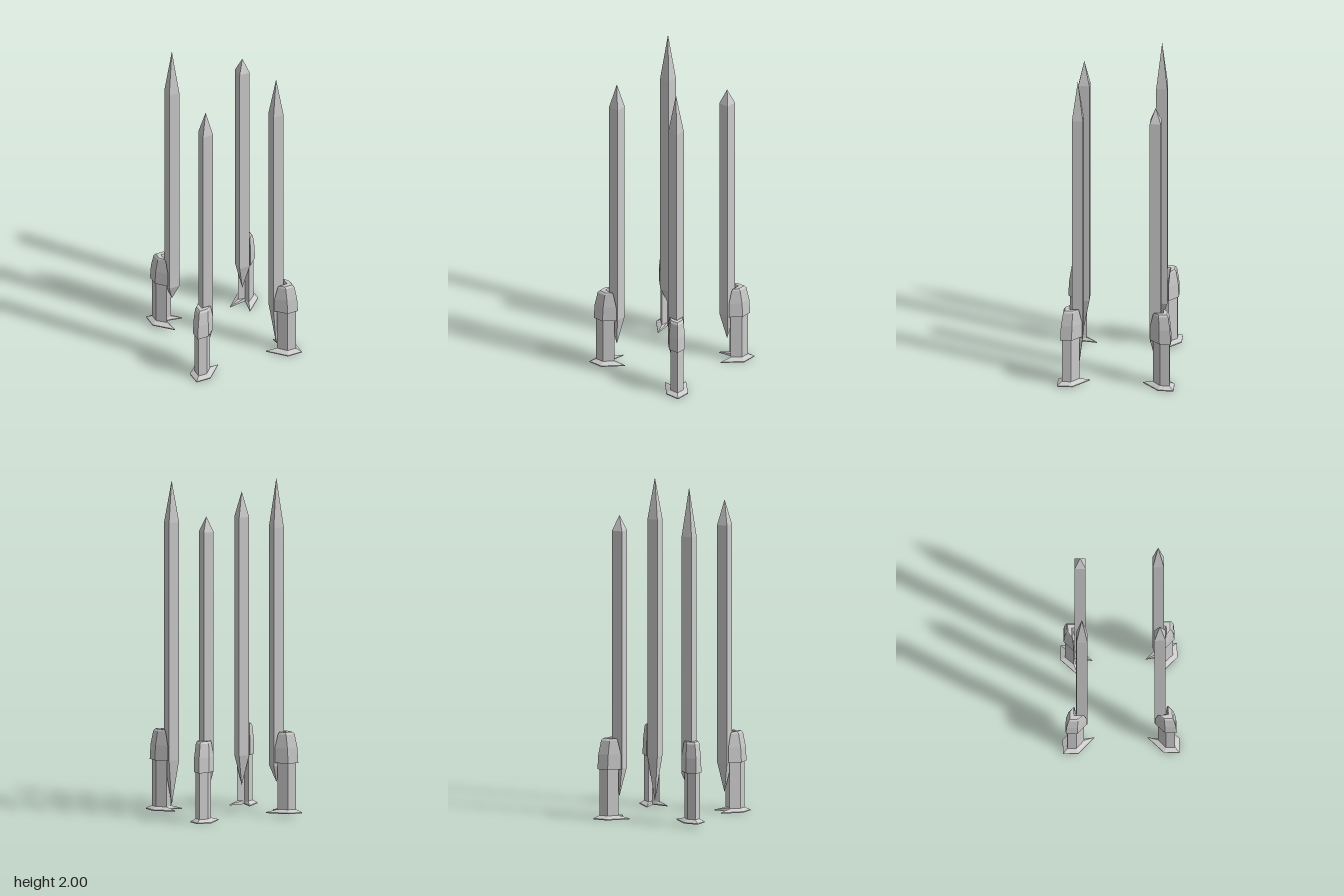
import * as THREE from 'three';

const material = new THREE.MeshStandardMaterial({ color: 0xcccccc, flatShading: true, side: THREE.DoubleSide });

function addMesh(parent, name, geometry) {
  const flat = geometry.index ? geometry.toNonIndexed() : geometry;
  flat.computeVertexNormals();
  const mesh = new THREE.Mesh(flat, material);
  mesh.name = name;
  parent.add(mesh);
}

// Arrowhead outline, symmetric about the corner diagonal:
// outer corner, shoulder, barb tip, inner notch, and the mirrored half.
function arrowRing(y, corner, shoulder, tipA, tipB, notch) {
  return [
    [corner, corner], [shoulder, corner], [tipA, tipB],
    [notch, notch], [tipB, tipA], [corner, shoulder],
  ].map(([x, z]) => new THREE.Vector3(x, y, z));
}

// Skins a stack of rings from bottom to top and caps both ends.
function loft(rings) {
  const points = [];
  for (let r = 0; r < rings.length - 1; r++) {
    const low = rings[r], high = rings[r + 1];
    for (let i = 0; i < 6; i++) {
      const j = (i + 1) % 6;
      points.push(low[j], low[i], high[i], low[j], high[i], high[j]);
    }
  }
  // Caps fan out from the notch
  const bottom = rings[0], top = rings[rings.length - 1];
  for (let k = 4; k < 8; k++) {
    const a = k % 6, b = (k + 1) % 6;
    points.push(bottom[3], bottom[a], bottom[b], top[3], top[b], top[a]);
  }
  return new THREE.BufferGeometry().setFromPoints(points);
}

// Square shaft pointed at both ends
function shaftGeometry(lowTip, highTip) {
  const radius = 0.0325 * Math.SQRT2;
  const profile = [[0, lowTip], [radius, 0.3], [radius, 1.71], [0, highTip]];
  return new THREE.LatheGeometry(profile.map(p => new THREE.Vector2(...p)), 4, Math.PI / 4)
    .translate(0.229, 0, 0.229);
}

function createPillar({ name, lowTip, highTip, lift }) {
  const pillar = new THREE.Group();
  pillar.name = name;

  addMesh(pillar, 'shaft', shaftGeometry(lowTip, highTip));

  const stand = new THREE.Group();
  stand.name = 'stand';
  stand.position.y = lift;
  pillar.add(stand);

  // Thin sloping foot
  addMesh(stand, 'footPlate', loft([
    arrowRing(0.003, 0.342, 0.252, 0.155, 0.243, 0.26),
    arrowRing(0.009, 0.342, 0.252, 0.155, 0.243, 0.26),
    arrowRing(0.025, 0.316, 0.262, 0.217, 0.266, 0.262),
  ]));
  // Upright between foot and sheath
  addMesh(stand, 'column', loft([
    arrowRing(0.02, 0.316, 0.262, 0.217, 0.266, 0.262),
    arrowRing(0.31, 0.316, 0.262, 0.217, 0.266, 0.262),
  ]));
  // Sheath with a rounded-over top
  addMesh(stand, 'sheath', loft([
    arrowRing(0.30, 0.325, 0.258, 0.2, 0.268, 0.258),
    arrowRing(0.39, 0.321, 0.256, 0.2, 0.268, 0.26),
    arrowRing(0.47, 0.309, 0.253, 0.217, 0.274, 0.272),
    arrowRing(0.482, 0.3, 0.252, 0.223, 0.277, 0.277),
  ]));
  return pillar;
}

export function createModel() {
  const model = new THREE.Group();
  model.name = 'fourPillars';
  // Each pillar is a quarter turn from the last
  [
    { name: 'frontLeftPillar', lowTip: 0.03, highTip: 1.955, lift: 0 },
    { name: 'backLeftPillar', lowTip: 0.13, highTip: 1.80, lift: -0.003 },
    { name: 'backRightPillar', lowTip: 0.20, highTip: 2.0, lift: 0.018 },
    { name: 'frontRightPillar', lowTip: 0.12, highTip: 1.86, lift: 0 },
  ].forEach((spec, i) => {
    const pillar = createPillar(spec);
    pillar.rotation.y = i * Math.PI / 2;
    model.add(pillar);
  });
  return model;
}
